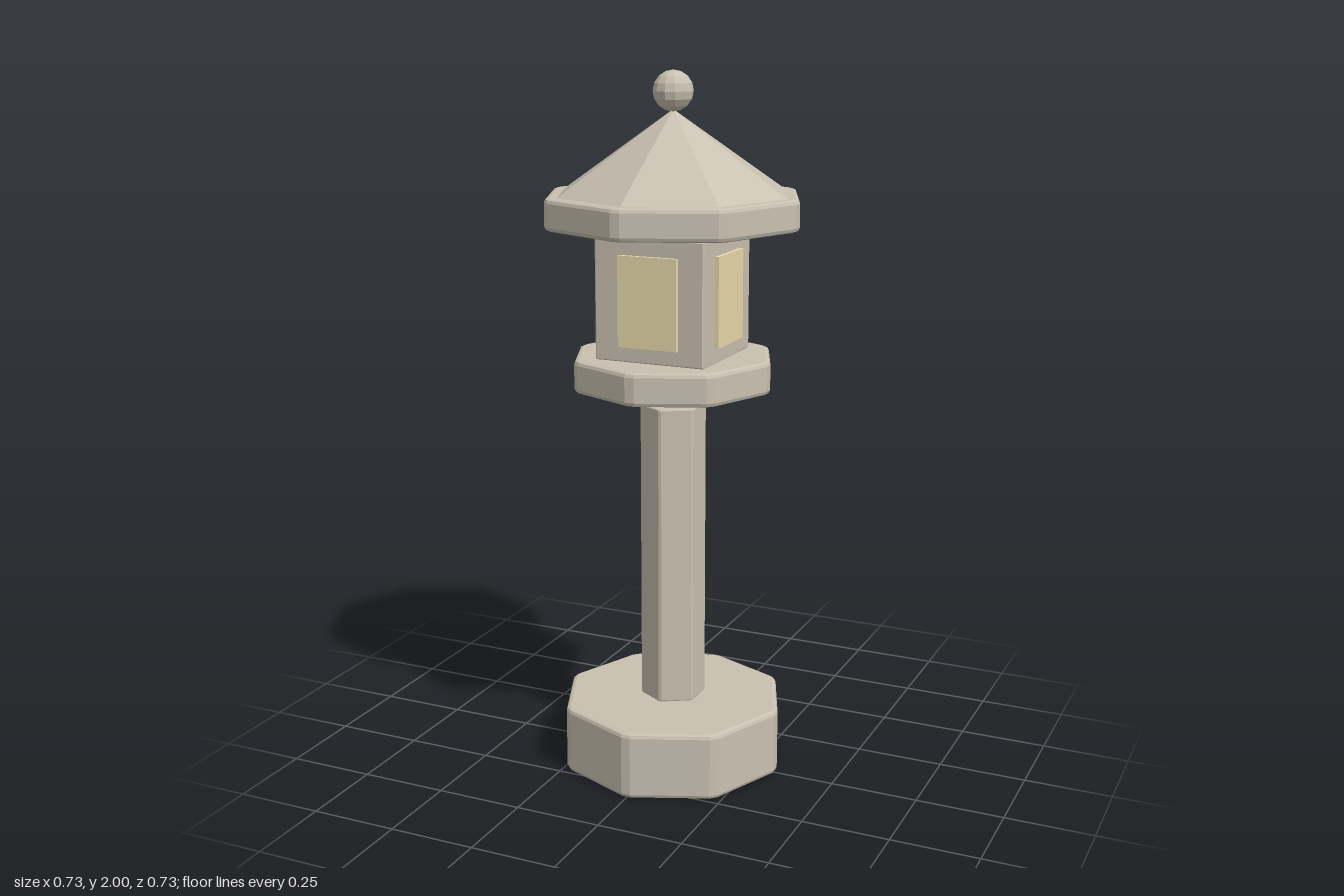
import * as THREE from 'three';

const stone = new THREE.MeshStandardMaterial({ color: 0xc8c0b0, flatShading: true });
const glow = new THREE.MeshStandardMaterial({ color: 0xe8d9a8, flatShading: true });

// Upright regular prism with bevelled rims and softened vertical edges
function bevelledPrism(sides, radius, y0, y1, bevel, phase = 0) {
  const inner = radius - bevel / Math.cos(Math.PI / sides);
  const corner = (i) => new THREE.Vector2(
    inner * Math.cos(phase + (i / sides) * Math.PI * 2),
    inner * Math.sin(phase + (i / sides) * Math.PI * 2));
  const points = [];
  for (let i = 0; i < sides; i++) {
    const c = corner(i);
    for (const step of [-1, 1]) {
      const dir = corner(i + step).sub(c).normalize();
      points.push(c.clone().addScaledVector(dir, bevel));
    }
  }
  const geometry = new THREE.ExtrudeGeometry(new THREE.Shape(points), {
    depth: y1 - y0 - 2 * bevel,
    bevelThickness: bevel, bevelSize: bevel, bevelSegments: 2,
  });
  geometry.rotateX(-Math.PI / 2);
  geometry.translate(0, y0 + bevel, 0);
  return geometry;
}

export function createModel() {
  const group = new THREE.Group();
  const add = (name, geometry, material = stone) => {
    const mesh = new THREE.Mesh(geometry, material);
    mesh.name = name;
    group.add(mesh);
    return mesh;
  };

  // Octagonal slabs, hexagonal post and square lamp housing
  add('base', bevelledPrism(8, 0.331, 0, 0.195, 0.012));
  add('post', bevelledPrism(6, 0.095, 0.2, 1.076, 0.004, Math.PI / 2));
  add('platform', bevelledPrism(8, 0.293, 1.127, 1.22, 0.012));
  add('lampHousing', bevelledPrism(4, 0.163 * Math.SQRT2, 1.22, 1.562, 0.003, Math.PI / 4));
  add('roofEave', bevelledPrism(8, 0.371, 1.58, 1.668, 0.012));

  // One lit window on each side of the housing
  for (let i = 0; i < 4; i++) {
    const geometry = new THREE.BoxGeometry(0.175, 0.252, 0.022);
    geometry.translate(0, 1.389, 0.163);
    add('window', geometry, glow).rotation.y = (i * Math.PI) / 2;
  }

  // Faceted roof and ball on top
  add('roof', new THREE.ConeGeometry(0.333, 0.227, 8)).position.y = 1.668 + 0.1135;
  add('finial', new THREE.SphereGeometry(0.056, 12, 8)).position.y = 1.944;

  return group;
}
